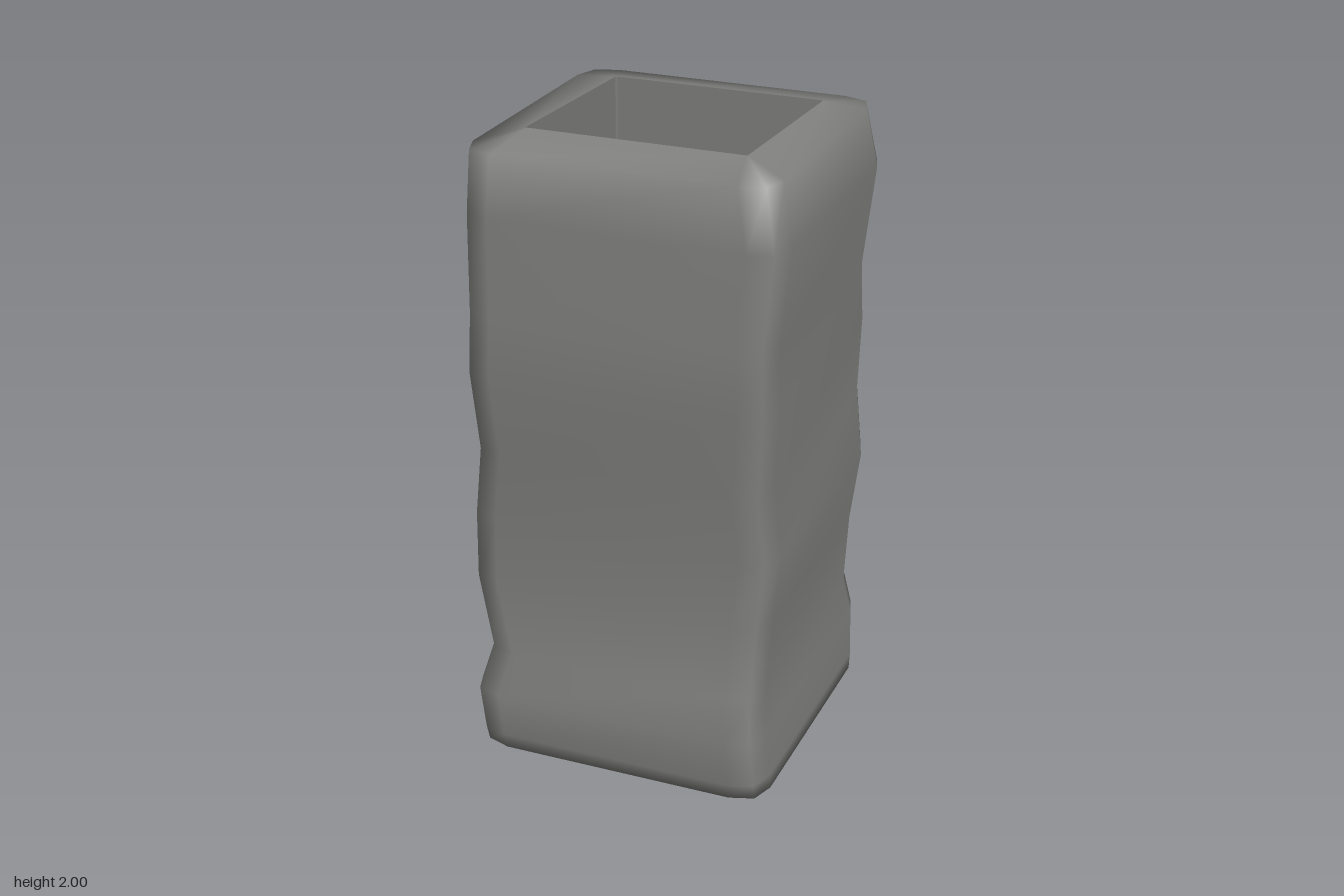
import * as THREE from 'three';

// Each level: height, left (-x), right (+x), back (-z), front (+z) extents
const LEVELS = [
  [0.00, -0.475, 0.475, -0.48, 0.49],
  [0.05, -0.48, 0.475, -0.49, 0.50],
  [0.20, -0.49, 0.465, -0.51, 0.515],
  [0.34, -0.455, 0.45, -0.465, 0.475],
  [0.57, -0.51, 0.46, -0.475, 0.455],
  [0.79, -0.505, 0.485, -0.495, 0.46],
  [1.02, -0.475, 0.465, -0.49, 0.475],
  [1.28, -0.49, 0.485, -0.455, 0.50],
  [1.47, -0.48, 0.48, -0.445, 0.50],
  [1.77, -0.485, 0.505, -0.485, 0.485],
  [1.96, -0.475, 0.475, -0.45, 0.475],
];

// Three points round each corner, counted from +x towards +z
function ring(y, l, r, b, f, c) {
  const k = c * 0.25;
  return [
    [r, f - c], [r - k, f - k], [r - c, f],
    [l + c, f], [l + k, f - k], [l, f - c],
    [l, b + c], [l + k, b + k], [l + c, b],
    [r - c, b], [r - k, b + k], [r, b + c],
  ].map(([x, z]) => [x, typeof y === 'function' ? y(z) : y, z]);
}

// Skin between successive rings; the normals face outward for rising rings
function loft(rings) {
  const n = rings[0].length, index = [];
  for (let j = 0; j < rings.length - 1; j++) {
    for (let i = 0; i < n; i++) {
      const a = j * n + i, b = j * n + (i + 1) % n;
      index.push(a, a + n, b, b, a + n, b + n);
    }
  }
  const g = new THREE.BufferGeometry();
  g.setAttribute('position', new THREE.Float32BufferAttribute(rings.flat(2), 3));
  g.setIndex(index);
  g.computeVertexNormals();
  return g;
}

export function createModel() {
  const group = new THREE.Group();
  const stone = new THREE.MeshStandardMaterial({ color: 0x80807e });
  stone.name = 'stone grey';
  const add = (name, geometry) => {
    const mesh = new THREE.Mesh(geometry, stone);
    mesh.name = name;
    group.add(mesh);
  };

  // Rim edge slopes gently down towards the back
  const rimY = (z) => 1.988 + z * 0.037;
  const topHole = ring(rimY, -0.335, 0.345, -0.33, 0.32, 0.006);
  const bottomHole = ring(0, -0.355, 0.36, -0.355, 0.355, 0.006);

  // Wavy outer wall with softly shaded rims
  const walls = LEVELS.map(([y, l, r, b, f]) => ring(y, l, r, b, f, 0.1));
  add('outerWall', loft([bottomHole, ...walls, topHole]));

  // Straight inner wall, faces turned inward
  add('innerWall', loft([topHole, bottomHole]).toNonIndexed());
  const inner = group.getObjectByName('innerWall').geometry;
  inner.computeVertexNormals();

  return group;
}
